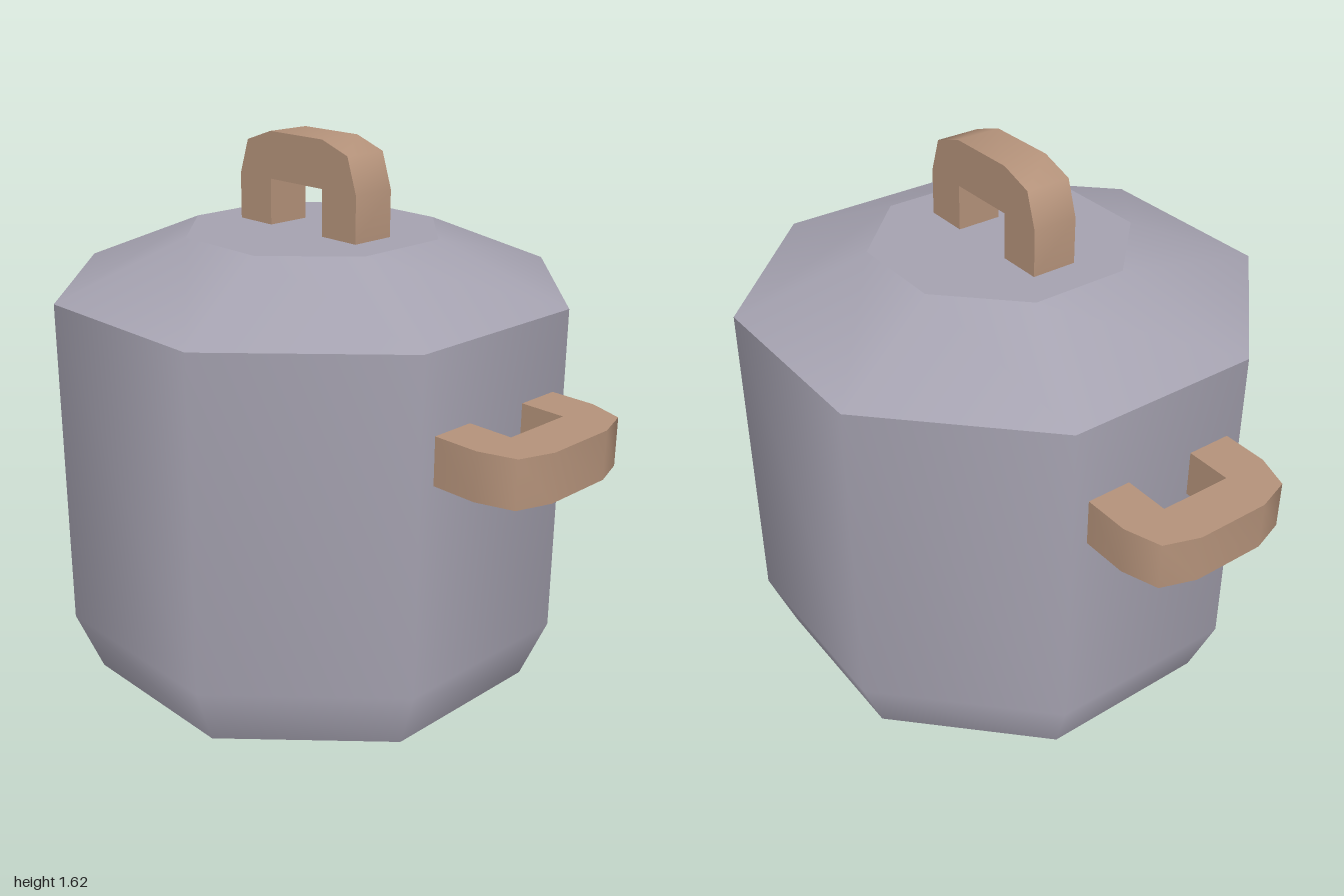
import * as THREE from 'three';
import { toCreasedNormals } from 'three/addons/utils/BufferGeometryUtils.js';

export function createModel() {
  const model = new THREE.Group();
  model.name = 'cookingPot';

  const metal = new THREE.MeshStandardMaterial({ color: 0xa5a2b0 });
  metal.name = 'greyMetal';
  const wood = new THREE.MeshStandardMaterial({ color: 0xb4927a });
  wood.name = 'brownHandle';

  // Eight-sided ring; profile is [distance to flat side, height]
  const octagon = (name, profile, parent) => {
    const points = profile.map(([a, y]) => new THREE.Vector2(a / Math.cos(Math.PI / 8), y));
    const mesh = new THREE.Mesh(new THREE.LatheGeometry(points, 8, Math.PI / 8), metal);
    mesh.name = name;
    parent.add(mesh);
  };

  // Pot body with tapered foot
  const body = new THREE.Group();
  body.name = 'potBody';
  octagon('potBase', [[0, 0], [0.65, 0]], body);
  octagon('potWall', [[0.65, 0], [0.722, 0.19], [0.722, 1.185]], body);

  // Sloped lid with flat top
  const lid = new THREE.Group();
  lid.name = 'lid';
  octagon('lidSlope', [[0.722, 1.185], [0.362, 1.345]], lid);
  octagon('lidTop', [[0.362, 1.345], [0, 1.345]], lid);
  model.add(body, lid);

  // Arched handle: feet at y = 0, arch rising to y = 0.28
  const half = [[0.11, 0], [0.247, 0], [0.247, 0.14], [0.212, 0.245], [0.11, 0.28]];
  const outline = [
    ...half,
    ...half.slice().reverse().map(([x, y]) => [-x, y]),
    [-0.11, 0.14], [0.11, 0.14],
  ];
  const shape = new THREE.Shape(outline.map(([x, y]) => new THREE.Vector2(x, y)));
  const raw = new THREE.ExtrudeGeometry(shape, { depth: 0.14, bevelEnabled: false });
  raw.translate(0, 0, -0.07);
  const handleGeometry = toCreasedNormals(raw, THREE.MathUtils.degToRad(55));

  const addHandle = (name, position, rotation) => {
    const mesh = new THREE.Mesh(handleGeometry, wood);
    mesh.name = name;
    mesh.position.set(...position);
    mesh.rotation.set(...rotation);
    model.add(mesh);
  };
  addHandle('lidHandle', [0, 1.343, 0], [0, Math.PI / 2, 0]);
  addHandle('frontHandle', [0, 0.883, 0.72], [Math.PI / 2, 0, 0]);
  addHandle('backHandle', [0, 0.883, -0.72], [-Math.PI / 2, 0, 0]);

  return model;
}
